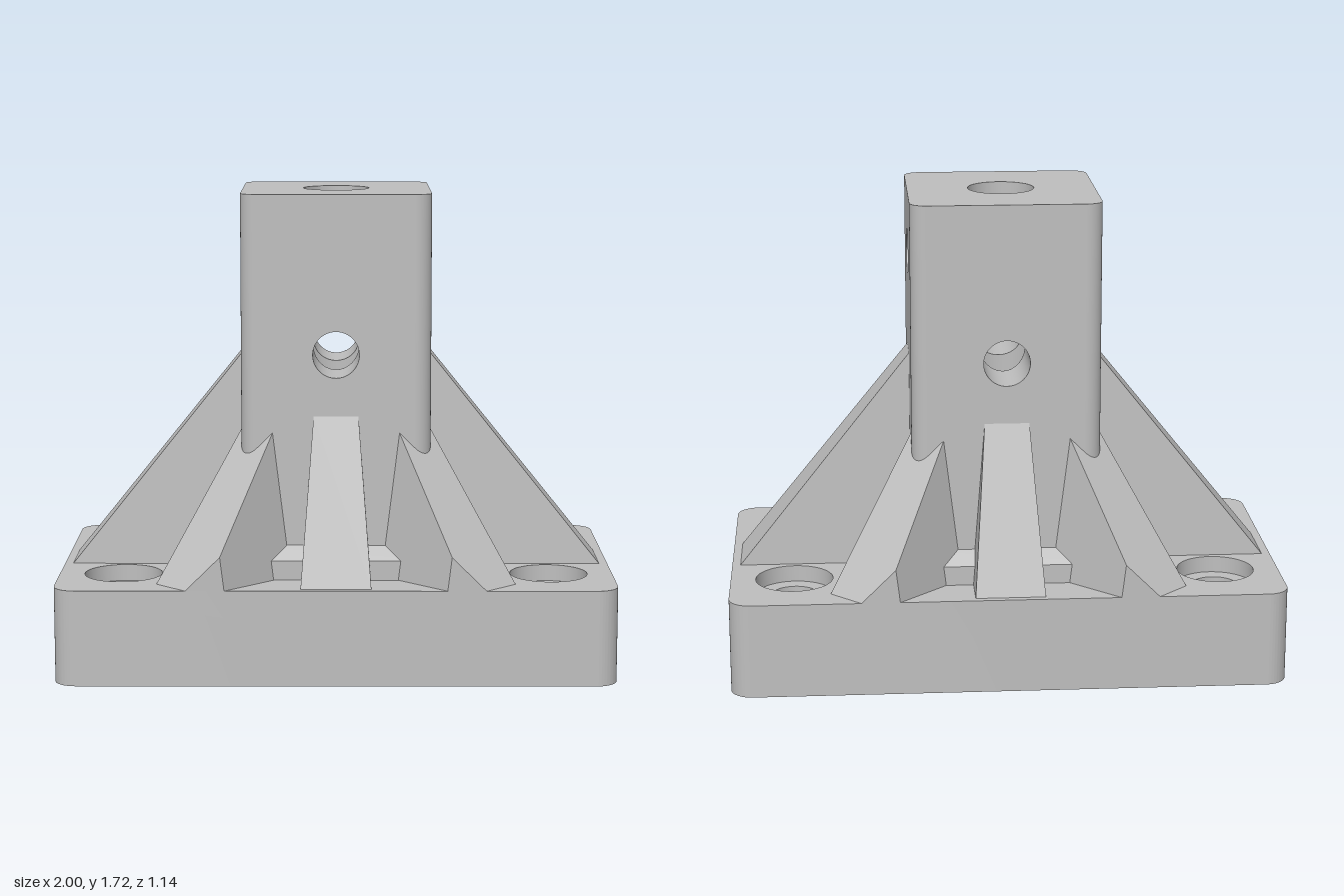
import * as THREE from 'three';
import { toCreasedNormals } from 'three/addons/utils/BufferGeometryUtils.js';
import { ConvexGeometry } from 'three/addons/geometries/ConvexGeometry.js';

const BASE = { x: 1, z: 0.57, y: 0.345, r: 0.08 };
const COL = { half: 0.34, top: 1.72, r: 0.06 };
const BORE = 0.12, PIN = 0.083, COUNTERBORE = 0.14;
const PIN_Z = 1.15, PIN_X = 1.49; // heights of the two cross holes
const SEG = 96;

function roundedRect(hx, hy, r) {
  const s = new THREE.Shape();
  s.absarc(hx - r, hy - r, r, 0, Math.PI / 2);
  s.absarc(-hx + r, hy - r, r, Math.PI / 2, Math.PI);
  s.absarc(-hx + r, -hy + r, r, Math.PI, Math.PI * 1.5);
  s.absarc(hx - r, -hy + r, r, Math.PI * 1.5, Math.PI * 2);
  s.closePath();
  return s;
}

function punch(shape, x, y, r) {
  const hole = new THREE.Path();
  hole.absarc(x, y, r, 0, Math.PI * 2, true);
  shape.holes.push(hole);
}

// Surface between two closed loops, each given as a function of the angle
function loft(from, to) {
  const pos = [], index = [];
  for (let i = 0; i < SEG; i++) {
    const t = (i / SEG) * Math.PI * 2;
    pos.push(...from(t), ...to(t));
    const a = 2 * i, b = 2 * ((i + 1) % SEG);
    index.push(a, a + 1, b, b, a + 1, b + 1);
  }
  const g = new THREE.BufferGeometry();
  g.setAttribute('position', new THREE.Float32BufferAttribute(pos, 3));
  g.setIndex(index);
  g.computeVertexNormals();
  return g;
}

function lathe(points, segments = 48, start = 0) {
  const pts = points.map(([x, y]) => new THREE.Vector2(x, y));
  return toCreasedNormals(new THREE.LatheGeometry(pts, segments, start).toNonIndexed(), 0.5);
}

export function createModel() {
  const model = new THREE.Group();
  const grey = new THREE.MeshStandardMaterial({ color: 0xbfbfbf, side: THREE.DoubleSide });
  grey.name = 'grey';
  const add = (name, geometry, parent = model) => {
    const mesh = new THREE.Mesh(geometry, grey);
    mesh.name = name;
    parent.add(mesh);
    return mesh;
  };
  const signs = [-1, 1];

  // Base plate with counterbored bolt holes
  const plan = roundedRect(BASE.x, BASE.z, BASE.r);
  punch(plan, 0, 0, COUNTERBORE);
  for (const sx of signs) for (const sz of signs) {
    punch(plan, sx * 0.77, sz * 0.285, COUNTERBORE);
    const bolt = add('boltHole', lathe([[COUNTERBORE, 0.285], [PIN, 0.285], [PIN, 0], [COUNTERBORE, 0]]));
    bolt.position.set(sx * 0.77, 0, sz * 0.285);
  }
  const plate = new THREE.ExtrudeGeometry(plan, { depth: BASE.y, bevelEnabled: false, curveSegments: 24 });
  plate.rotateX(-Math.PI / 2);
  add('basePlate', toCreasedNormals(plate, 0.5));
  add('boreCountersink', lathe([[BORE, 0.025], [COUNTERBORE, 0]]));

  // Column walls, rounded corners and pin holes, one side at a time
  const column = new THREE.Group();
  column.name = 'column';
  model.add(column);
  const flat = COL.half - COL.r, colHeight = COL.top - BASE.y;
  for (let i = 0; i < 4; i++) {
    const side = new THREE.Group();
    side.name = 'columnSide';
    side.rotation.y = (i * Math.PI) / 2;
    column.add(side);
    const y = i % 2 ? PIN_X : PIN_Z;
    const face = new THREE.Shape([
      new THREE.Vector2(-flat, BASE.y), new THREE.Vector2(flat, BASE.y),
      new THREE.Vector2(flat, COL.top), new THREE.Vector2(-flat, COL.top),
    ]);
    punch(face, 0, y, PIN);
    add('columnWall', new THREE.ShapeGeometry(face, 24), side).position.z = COL.half;
    const corner = new THREE.CylinderGeometry(COL.r, COL.r, colHeight, 10, 1, true, 0, Math.PI / 2);
    add('columnCorner', corner, side).position.set(flat, BASE.y + colHeight / 2, flat);
    const ring = (t, z) => [PIN * Math.cos(t), y + PIN * Math.sin(t), z];
    add('pinHole', loft(
      t => ring(t, Math.sqrt(BORE ** 2 - (PIN * Math.cos(t)) ** 2)),
      t => ring(t, COL.half)), side);
  }
  const cap = roundedRect(COL.half, COL.half, COL.r);
  punch(cap, 0, 0, BORE);
  const capGeometry = new THREE.ShapeGeometry(cap, 24);
  capGeometry.rotateX(-Math.PI / 2);
  add('columnTop', capGeometry, column).position.y = COL.top;

  // Vertical bore, opened where the pin holes cross it
  const gap = s => Math.sqrt(Math.max(0, PIN ** 2 - (BORE * s) ** 2));
  const ringAt = height => t => [BORE * Math.sin(t), height(t), BORE * Math.cos(t)];
  const low = sign => ringAt(t => PIN_Z + sign * gap(Math.sin(t)));
  const high = sign => ringAt(t => PIN_X + sign * gap(Math.cos(t)));
  add('boreLower', loft(ringAt(() => 0.025), low(-1)), column);
  add('boreMiddle', loft(low(1), high(-1)), column);
  add('boreUpper', loft(high(1), ringAt(() => COL.top)), column);

  // Square chamfered collar round the foot of the column
  const d = Math.SQRT2;
  add('collar', lathe([[0.4 * d, BASE.y], [0.4 * d, 0.415], [COL.half * d, 0.46]], 4, Math.PI / 4));

  // Straight ribs, narrowing from 0.25 wide at the foot to 0.16 at the top
  const straightRib = (name, top, end, angle) => {
    const pts = [];
    for (const s of signs) {
      pts.push(new THREE.Vector3(s * 0.125, BASE.y, COL.half),
        new THREE.Vector3(s * 0.08, top, COL.half),
        new THREE.Vector3(s * 0.125, BASE.y, end));
    }
    add(name, new ConvexGeometry(pts)).rotation.y = angle;
  };
  for (const i of [0, 1]) {
    straightRib('frontBackRib', 0.93, 0.545, i * Math.PI);
    straightRib('sideRib', 1.13, 0.97, Math.PI / 2 + i * Math.PI);
  }

  // Diagonal ribs, trimmed flush with the long edges of the base
  const END = 0.778, IN = 0.3, W = 0.125, TOPW = 0.068, TOPY = 1.01;
  const cut = BASE.z * d;                            // distance + offset at the trim
  const t = (END + W - cut) / (END - IN + W - TOPW); // where the ridge meets the trim
  const outline = [
    [IN, -TOPW, TOPY], [IN, TOPW, TOPY], [IN, -W, BASE.y], [IN, W, BASE.y],
    [END, -W, BASE.y], [END, cut - END, BASE.y], [cut - W, W, BASE.y],
    [END - (END - IN) * t, W - (W - TOPW) * t, BASE.y + (TOPY - BASE.y) * t],
  ];
  for (const sx of signs) for (const sz of signs) {
    add('diagonalRib', new ConvexGeometry(outline.map(([along, off, y]) =>
      new THREE.Vector3(sx * (along - off) / d, y, sz * (along + off) / d))));
  }
  return model;
}
